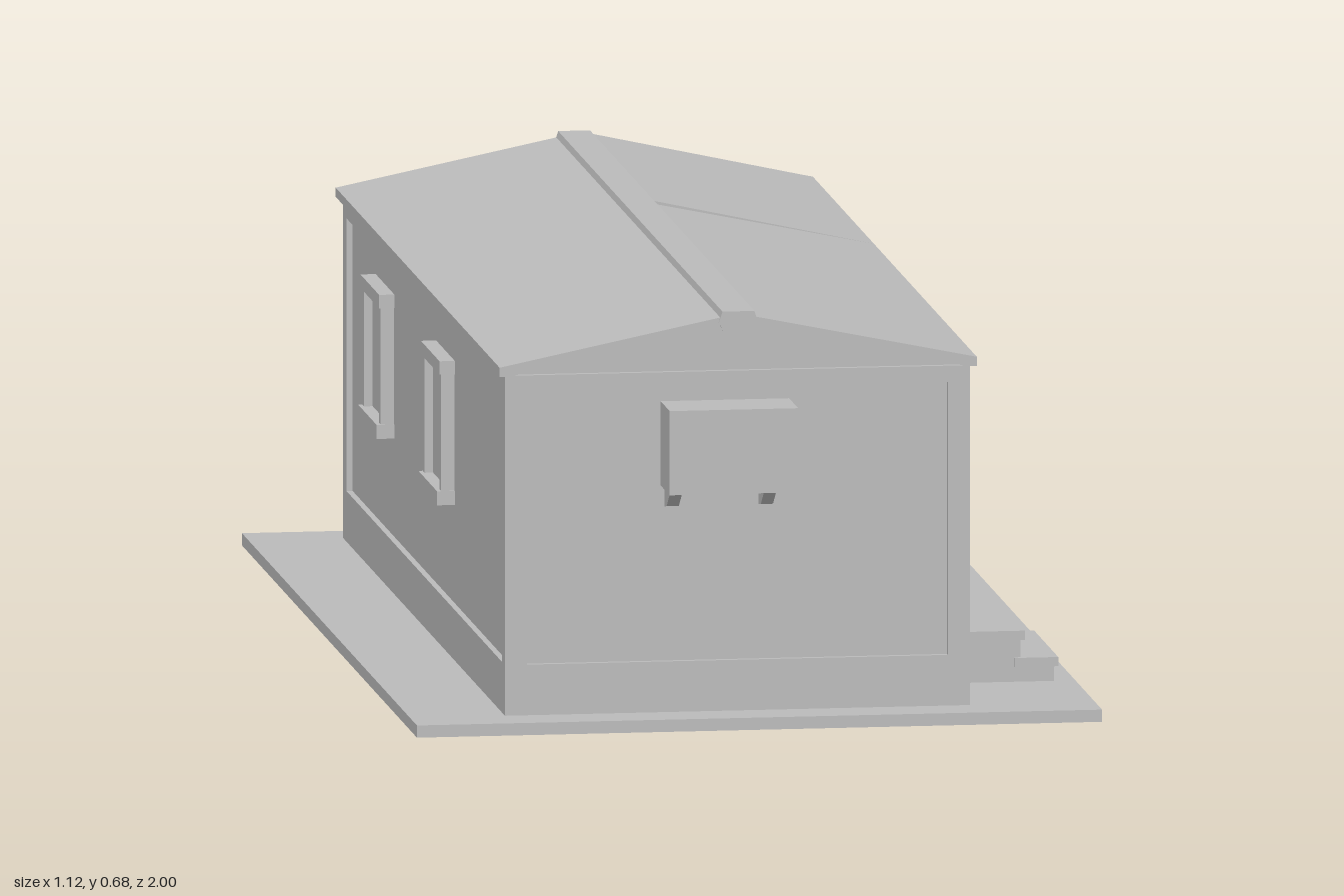
import * as THREE from 'three';

export function createModel() {
  const model = new THREE.Group();
  const grey = new THREE.MeshStandardMaterial({ color: 0xbbbbbb });
  grey.name = 'plain grey';

  // Adds a mesh to a parent
  function add(parent, name, geometry) {
    const mesh = new THREE.Mesh(geometry, grey);
    mesh.name = name;
    parent.add(mesh);
    return mesh;
  }
  // Box given by its limits on each axis
  function box(parent, name, x0, x1, y0, y1, z0, z1) {
    const g = new THREE.BoxGeometry(x1 - x0, y1 - y0, z1 - z0);
    g.translate((x0 + x1) / 2, (y0 + y1) / 2, (z0 + z1) / 2);
    return add(parent, name, g);
  }
  // Outline in x and y, extruded from z0 to z1
  function prism(parent, name, points, z0, z1) {
    const shape = new THREE.Shape(points.map(p => new THREE.Vector2(p[0], p[1])));
    const g = new THREE.ExtrudeGeometry(shape, { depth: z1 - z0, bevelEnabled: false });
    g.translate(0, 0, z0);
    return add(parent, name, g);
  }

  box(model, 'groundSlab', -0.56, 0.56, 0, 0.02, -0.985, 0.985);

  // House, symmetric about its own ridge line
  const house = new THREE.Group();
  house.name = 'house';
  house.position.x = -0.025;
  model.add(house);
  const W = 0.38, F = 0.908, B = -0.912, R = 0.01;

  box(house, 'plinth', -W, W, 0.02, 0.103, B, F);
  box(house, 'wallPanels', -W + R, W - R, 0.103, 0.55, B + R, F - R);
  box(house, 'topBand', -W, W, 0.55, 0.577, B, F);
  for (const sx of [-1, 1]) {
    for (const z of [B, F - 0.036]) {
      const x = sx > 0 ? W - 0.036 : -W;
      box(house, 'cornerPost', x, x + 0.036, 0.103, 0.55, z, z + 0.036);
    }
  }

  // Gable, roof sheets and ridge cap
  prism(house, 'gable', [[-W, 0.576], [W, 0.576], [0, 0.653]], B + R, F - R);
  prism(house, 'roof', [
    [-0.39, 0.577], [-0.375, 0.577], [0, 0.65], [0.375, 0.577],
    [0.39, 0.577], [0.39, 0.592], [0, 0.672], [-0.39, 0.592],
  ], -0.928, 0.917);
  prism(house, 'ridgeCap', [
    [-0.032, 0.658], [-0.024, 0.643], [0.024, 0.643], [0.032, 0.658],
    [0.026, 0.676], [-0.026, 0.676],
  ], -0.93, 0.92);
  prism(house, 'roofOverlap', [[0.01, 0.67], [0.39, 0.592], [0.01, 0.675]], -0.926, -0.24);

  // Window on the +x wall, centred on z = 0 of its group
  function makeWindow(z, side) {
    const g = new THREE.Group();
    g.name = 'window';
    const x0 = W - R - 0.004, x1 = W + 0.012, h = 0.105;
    box(g, 'windowPane', x0, W - 0.002, 0.28, 0.485, -h + 0.01, h - 0.01);
    box(g, 'windowHead', x0, x1 + 0.003, 0.478, 0.5, -h, h);
    box(g, 'windowSill', x0, x1 + 0.007, 0.264, 0.287, -h, h);
    for (const s of [-1, 1]) {
      box(g, 'windowJamb', x0, x1, 0.28, 0.485, s * (h - 0.012) - 0.009, s * (h - 0.012) + 0.009);
    }
    g.rotation.y = side > 0 ? 0 : Math.PI;
    g.position.z = z;
    house.add(g);
  }
  makeWindow(0.115, 1);
  makeWindow(0.17, -1);
  makeWindow(-0.51, -1);

  // Incomplete window frame on the right wall
  const broken = new THREE.Group();
  broken.name = 'brokenWindowFrame';
  house.add(broken);
  const bx = W - R - 0.004;
  box(broken, 'frameHead', bx, W + 0.015, 0.468, 0.5, -0.615, -0.43);
  box(broken, 'frameJamb', bx, W + 0.012, 0.285, 0.47, -0.462, -0.436);
  box(broken, 'frameFoot', bx, W + 0.017, 0.267, 0.29, -0.447, -0.422);
  box(broken, 'frameStub', bx, W + 0.012, 0.435, 0.47, -0.612, -0.592);

  // Door with frame and handle
  const door = new THREE.Group();
  door.name = 'door';
  house.add(door);
  box(door, 'doorLeaf', bx, W - 0.005, 0.1, 0.505, 0.47, 0.65);
  box(door, 'doorHead', bx, W + 0.004, 0.502, 0.522, 0.45, 0.672);
  for (const z of [0.45, 0.65]) box(door, 'doorJamb', bx, W + 0.003, 0.1, 0.505, z, z + 0.022);
  box(door, 'doorHandle', bx, W + 0.006, 0.3, 0.318, 0.484, 0.497);

  // Entrance steps
  box(model, 'upperStep', 0.35, 0.47, 0.02, 0.09, 0.43, 0.685);
  box(model, 'upperTread', 0.35, 0.476, 0.09, 0.105, 0.418, 0.695);
  box(model, 'lowerStep', 0.46, 0.525, 0.02, 0.047, 0.43, 0.685);
  box(model, 'lowerTread', 0.46, 0.531, 0.045, 0.06, 0.422, 0.692);

  // Air conditioner with an open side frame and two wedge brackets
  function makeAirConditioner(turn) {
    const g = new THREE.Group();
    g.name = 'airConditioner';
    const z0 = F - R - 0.004, z1 = 1.0;
    box(g, 'casing', -0.124, 0.064, 0.39, 0.528, z0, z1);
    for (const y of [0.39, 0.512]) box(g, 'sideFrameBar', 0.063, 0.086, y, y + 0.016, z0, z1);
    for (const z of [z0, z1 - 0.016]) box(g, 'sideFramePost', 0.063, 0.086, 0.39, 0.528, z, z + 0.016);
    for (const x of [-0.118, 0.036]) {
      const b = prism(g, 'bracket', [[0, 0.392], [0, 0.355], [0.03, 0.36], [0.075, 0.392]], 0, 0.02);
      b.rotation.y = -Math.PI / 2;
      b.position.set(x + 0.02, 0, z0);
    }
    g.rotation.y = turn;
    house.add(g);
  }
  makeAirConditioner(0);
  makeAirConditioner(Math.PI);

  return model;
}
